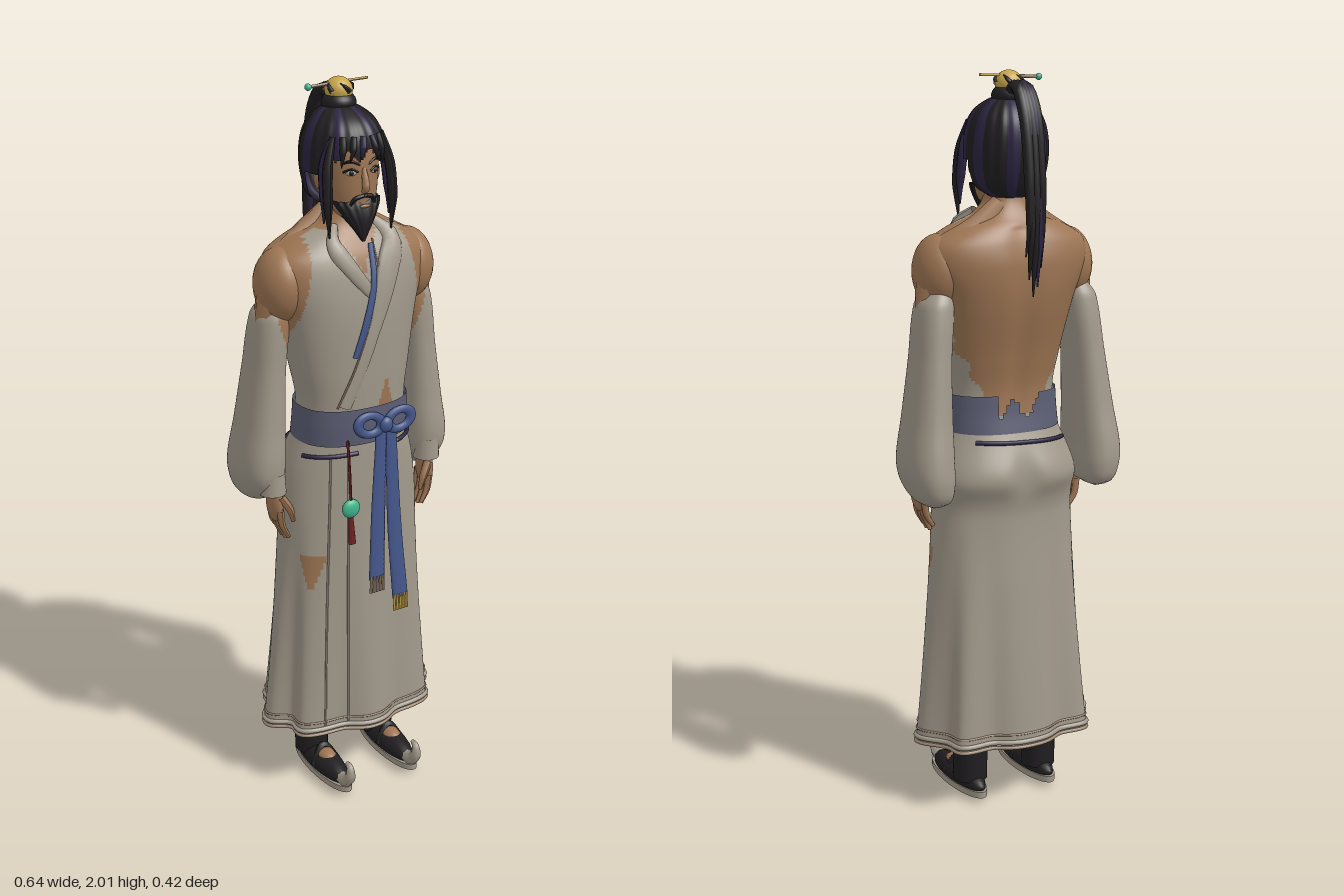
import * as THREE from 'three';

const mat = (name, color) => Object.assign(new THREE.MeshStandardMaterial({ color, side: THREE.DoubleSide }), { name });
const V = (x, y, z) => new THREE.Vector3(x, y, z);

// Surface from cross-sections [y, halfWidth, zFront, zBack, centreX]; y ascending
function surface(rows, ripple = () => 1, n = 2.35) {
  const slope = (i, k) => {
    const a = rows[Math.max(i - 1, 0)], b = rows[Math.min(i + 1, rows.length - 1)];
    return (b[k] - a[k]) / (b[0] - a[0]);
  };
  const f = (y, a) => {
    let i = 0;
    while (i < rows.length - 2 && y > rows[i + 1][0]) i++;
    const h = rows[i + 1][0] - rows[i][0], t = (y - rows[i][0]) / h, t2 = t * t, t3 = t2 * t;
    const get = k => (2 * t3 - 3 * t2 + 1) * rows[i][k] + (t3 - 2 * t2 + t) * h * slope(i, k)
      + (3 * t2 - 2 * t3) * rows[i + 1][k] + (t3 - t2) * h * slope(i + 1, k);
    const c = Math.cos(a), s = Math.sin(a), r = ripple(y, a), zf = get(2), zb = get(3);
    const p = v => Math.sign(v) * Math.abs(v) ** (2 / n);
    return V((rows[0].length > 4 ? get(4) : 0) + get(1) * p(c) * r, y, (zf + zb) / 2 + (zf - zb) / 2 * p(s) * r);
  };
  f.range = [rows[0][0], rows[rows.length - 1][0]];
  // Point on the front of the surface at a given x, y
  f.front = (x, y, off = 0) => {
    let lo = 0.02, hi = Math.PI - 0.02;
    for (let i = 0; i < 30; i++) { const m = (lo + hi) / 2; if (f(y, m).x > x) lo = m; else hi = m; }
    const p = f(y, lo); p.z += off; return p;
  };
  return f;
}

// Mesh a surface; pick(point, angle) gives the material index of a face, or -1 to leave it out
function loft(f, mats, pick = () => 0, seg = 64, steps = 40) {
  const pos = [], idx = mats.map(() => []), [y0, y1] = f.range;
  for (let j = 0; j <= steps; j++) for (let i = 0; i < seg; i++)
    pos.push(...f(y0 + (y1 - y0) * j / steps, i / seg * Math.PI * 2).toArray());
  for (let j = 0; j < steps; j++) for (let i = 0; i < seg; i++) {
    const a = j * seg + i, b = j * seg + (i + 1) % seg, ang = (i + 0.5) / seg * Math.PI * 2;
    const k = pick(f(y0 + (y1 - y0) * (j + 0.5) / steps, ang), ang);
    if (k >= 0) idx[k].push(a, a + seg, b, b, a + seg, b + seg);
  }
  const g = new THREE.BufferGeometry();
  g.setAttribute('position', new THREE.Float32BufferAttribute(pos, 3));
  g.setIndex(idx.flat());
  let start = 0;
  idx.forEach((l, k) => { g.addGroup(start, l.length, k); start += l.length; });
  g.computeVertexNormals();
  return new THREE.Mesh(g, mats);
}

// Tube with changing radius, squashed by a world-space scale
function sweep(points, radii, material, scale = [1, 1, 1], closed = false, seg = 28) {
  const curve = new THREE.CatmullRomCurve3(points, closed), rad = 8, S = V(...scale);
  const g = new THREE.TubeGeometry(curve, seg, 1, rad, closed), p = g.attributes.position, v = V();
  for (let i = 0; i <= seg; i++) {
    const c = curve.getPointAt(i / seg), u = i / seg * (radii.length - 1), k = Math.min(Math.floor(u), Math.max(radii.length - 2, 0));
    const r = radii.length < 2 ? radii[0] : radii[k] + (radii[k + 1] - radii[k]) * (u - k);
    for (let j = 0; j <= rad; j++) {
      const n = i * (rad + 1) + j;
      v.fromBufferAttribute(p, n).sub(c).multiply(S).multiplyScalar(r).add(c);
      p.setXYZ(n, v.x, v.y, v.z);
    }
  }
  g.computeVertexNormals();
  return new THREE.Mesh(g, material);
}

function ball(x, y, z, rx, ry, rz, material) {
  const m = new THREE.Mesh(new THREE.SphereGeometry(1, 28, 18), material);
  m.position.set(x, y, z); m.scale.set(rx, ry, rz);
  return m;
}

export function createModel() {
  const root = new THREE.Group();
  const robe = mat('robe cloth', 0xa0988a), skin = mat('skin', 0x9d7553), black = mat('black', 0x201e20),
    purple = mat('dark purple', 0x2b2442), blue = mat('blue cord', 0x44568a), sash = mat('sash', 0x5a5d72),
    gold = mat('gold', 0xc8a548), jade = mat('jade', 0x40b48a), red = mat('dark red', 0x6c2022), trim = mat('trim', 0x9a846f);
  const add = (name, mesh) => { mesh.name = name; root.add(mesh); return mesh; };

  // Torso: open-backed robe over skin
  const back = a => Math.exp(-(((a - Math.PI * 1.5) / 0.16) ** 2));
  const body = surface([[1, .165, .115, -.115], [1.15, .152, .12, -.1], [1.25, .167, .122, -.115], [1.4, .197, .12, -.15],
    [1.5, .23, .107, -.158], [1.56, .222, .09, -.147], [1.6, .16, .068, -.128], [1.63, .088, .048, -.105],
    [1.67, .054, .036, -.087], [1.74, .05, .03, -.08]], (y, a) => 1 - (y < 1.6 ? 0.07 * back(a) : 0));
  add('torso', loft(body, [robe, skin], p => {
    const x = Math.abs(p.x);
    if (p.y > 1.625) return 1;
    if (p.z < -0.01) return p.y > 1.1 && x < 0.07 + 0.5 * (p.y - 1.1) + 0.008 * Math.sin(p.y * 90) ? 1 : 0;
    if (x > 0.14 + (1.6 - p.y) * 0.2) return 1;
    if (p.y > 1.52 && Math.abs(p.x + 0.01) < (p.y - 1.52) * 0.6) return 1;
    return Math.abs(p.x - 0.05) < (1.23 - p.y) * 0.3 && p.y > 1.14 ? 1 : 0;
  }, 144, 84));

  // Collar bands and inner cord
  const onBody = (pts, off) => pts.map(([x, y]) => body.front(x, y, off));
  add('rightCollar', sweep(onBody([[-.06, 1.635], [-.08, 1.595], [-.045, 1.53], [.025, 1.44]], .004), [.012, .026, .02, .012], robe, [1, 1, .4]));
  add('leftLapel', sweep(onBody([[.06, 1.635], [.09, 1.59], [.06, 1.52], [.01, 1.38], [-.03, 1.27], [-.075, 1.16]], .003),
    [.014, .036, .03, .02, .018, .018], robe, [1, 1, .35]));
  add('lapelEdge', sweep(onBody([[.03, 1.6], [.03, 1.5], [-.01, 1.38], [-.05, 1.27], [-.095, 1.16]], .006), [.0025], trim));
  add('innerCord', sweep(onBody([[.02, 1.59], [.012, 1.5], [-.015, 1.4], [-.05, 1.3]], .008), [.008, .009, .011, .009], blue, [1, 1, .5]));

  // Skirt: draped seat at the back, folds that deepen towards the hem
  const skirt = surface([[.17, .25, .146, -.18], [.4, .232, .138, -.165], [.6, .218, .13, -.15], [.82, .204, .124, -.136],
    [.9, .2, .122, -.146], [.98, .187, .12, -.142], [1.07, .155, .118, -.112]], (y, a) => {
    const d = Math.max(0, (0.85 - y) / 0.68), h = y - 0.925;
    return 1 + 0.07 * d * Math.cos(8 * (a - Math.PI / 2)) + 0.015 * d * Math.sin(13 * a)
      + Math.exp(-((h / (h > 0 ? 0.06 : 0.04)) ** 2)) * (0.14 * Math.max(0, -Math.sin(a)) - 0.12 * back(a));
  }, 2.25);
  add('skirt', loft(skirt, [robe, skin], (p, a) =>
    [.2, 2.42].some(c => p.y < .735 && p.y > .63 && Math.abs(a - c) < .04 + (p.y - .63) * 2.2) ? 1 : 0, 144, 90));
  const arc = (y, k, a0, a1, n, tilt = 0) => Array.from({ length: n }, (_, i) => {
    const a = a0 + (a1 - a0) * i / n, p = skirt(y + tilt * Math.cos(a), a);
    p.x *= k; p.z *= k; return p;
  });
  for (const [y, r, m] of [[.175, .005, trim], [.19, .007, robe], [.212, .003, trim]])
    add('hemBand', sweep(arc(y, 1.005, 0, Math.PI * 2, 120), [r], m, [1, 1, 1], true, 208));
  for (const [a0, a1] of [[.3, 1.1], [1.75, 2.85], [3.8, 5.6]])
    add('lowCord', sweep(arc(1.025, 1.015, a0, a1, 16, .008), [.006], purple));
  for (const [x0, x1] of [[-.065, -.075], [-.11, -.145]])
    add('skirtSeam', sweep([1.02, .85, .65, .45, .2].map((y, i) => skirt.front(x0 + (x1 - x0) * i / 4, y, .001)), [.003], robe));

  // Sash with a torn back edge, bow and hanging ties
  add('sash', loft(surface([[1.05, .163, .127, -.122], [1.1, .161, .128, -.113], [1.152, .159, .126, -.108]]), [sash],
    p => p.z < -.05 && Math.abs(p.x) < .065 && p.y > 1.115 + .025 * Math.sin(p.x * 75) ? -1 : 0, 96, 20));
  for (const s of [1, -1]) {
    const loop = add('bowLoop', new THREE.Mesh(new THREE.TorusGeometry(.028, .012, 10, 28), blue));
    loop.position.set(.036 + s * .046, 1.105, .135);
    loop.scale.set(1.3, .95, .8);
    loop.rotation.z = s * .2;
  }
  add('bowKnot', ball(.036, 1.1, .142, .02, .022, .014, blue));
  const ties = [[.025, 1.08, .01, .85, .0, .65, trim], [.055, 1.08, .062, .8, .077, .575, gold]];
  for (const [xa, ya, xb, yb, xc, yc, m] of ties) {
    add('sashTie', sweep([V(xa, ya, .135), V(xb, yb, .147), V(xc, yc, .158)], [.017, .022, .025], blue, [1, 1, .25]));
    for (let i = -2; i <= 2; i++)
      add('tieFringe', sweep([V(xc + i * .009, yc + .012, .161), V(xc + i * .01, yc - .038, .161)], [.004], m, [1, 1, 1], false, 2));
  }

  // Jade pendant
  add('pendantCord', sweep([V(-.075, 1.07, .128), V(-.07, .98, .13), V(-.066, .89, .13)], [.004], red));
  add('pendantBead', ball(-.066, .87, .13, .027, .027, .014, jade));
  add('pendantTassel', sweep([V(-.066, .845, .13), V(-.064, .765, .133)], [.007, .012], red, [1, 1, .7], false, 4));

  // Arms, legs and feet
  for (const s of [1, -1]) {
    add('shoulder', ball(s * .192, 1.485, -.018, .07, .1, .084, skin));
    add('trapezius', sweep([V(s * .03, 1.655, -.055), V(s * .1, 1.59, -.055), V(s * .18, 1.53, -.035)], [.03, .042, .055], skin));
    add('upperArm', sweep([V(s * .21, 1.48, -.02), V(s * .235, 1.2, -.03), V(s * .242, .92, .015)], [.05, .038, .024], skin));
    const sleeve = surface([[.868, .004, -.09, -.1, s * .25], [.885, .04, -.02, -.145, s * .25], [.93, .06, .035, -.163, s * .254],
      [.99, .065, .05, -.16, s * .256], [1.1, .058, .042, -.14, s * .247], [1.25, .049, .034, -.12, s * .234],
      [1.4, .046, .03, -.1, s * .217], [1.44, .03, .015, -.08, s * .207]]);
    add('sleeve', loft(sleeve, [robe, skin], p => p.z > -.02 && p.y > 1.27 && Math.abs(p.x) < .185 + (p.y - 1.27) * .3 ? 1 : 0, 48, 60));
    const cuff = add('cuff', new THREE.Mesh(new THREE.CylinderGeometry(.034, .037, .06, 24, 1, true), robe));
    cuff.position.set(s * .245, .945, .018);
    add('palm', ball(s * .24, .885, .018, .019, .055, .036, skin));
    for (let i = 0; i < 4; i++) {
      const z = .046 - i * .019, d = i === 3 ? .015 : i === 0 ? .008 : 0;
      add('finger', sweep([V(s * .238, .87, z), V(s * .232, .825, z), V(s * .213, .778 + d, z)], [.011, .0095, .006], skin, undefined, false, 8));
    }
    add('thumb', sweep([V(s * .235, .91, .045), V(s * .212, .87, .056), V(s * .203, .835, .055)], [.012, .011, .006], skin, undefined, false, 8));

    const leg = add('legging', new THREE.Mesh(new THREE.CylinderGeometry(.054, .048, .56, 24), black));
    leg.position.set(s * .11, .32, -.025);
    const sole = add('sole', new THREE.Mesh(new THREE.CylinderGeometry(1, 1, .018, 36), robe));
    sole.position.set(s * .11, .014, .045);
    sole.scale.set(.044, 1, .15);
    add('shoeUpper', ball(s * .11, .03, .04, .042, .04, .137, black));
    add('instep', ball(s * .11, .052, .06, .027, .025, .045, skin));
    add('shoeStrap', sweep([V(s * .11 - .038, .028, .06), V(s * .11, .08, .045), V(s * .11 + .038, .028, .06)], [.011], black));
    add('toeCurl', sweep([V(s * .11, .032, .155), V(s * .11, .04, .182), V(s * .11, .065, .203), V(s * .11, .092, .2), V(s * .11, .098, .183)],
      [.02, .021, .016, .012, .006], robe));
  }

  // Head and face
  const head = surface([[1.645, .02, .06, .01], [1.66, .042, .074, -.02], [1.7, .064, .08, -.06], [1.76, .077, .083, -.1],
    [1.83, .08, .08, -.11], [1.88, .068, .06, -.1], [1.915, .02, 0, -.05]], undefined, 2.1);
  add('head', loft(head, [skin], undefined, 48, 30));
  add('nose', sweep([V(0, 1.79, .08), V(0, 1.755, .09), V(0, 1.738, .092), V(0, 1.73, .08)], [.006, .009, .011, .007], skin));
  add('beard', loft(surface([[1.598, .004, .084, .074], [1.63, .022, .09, .05], [1.66, .042, .091, .02], [1.69, .06, .085, 0],
    [1.705, .066, .078, -.01]], (y, a) => 1 + .05 * Math.cos(14 * a)), [black], undefined, 56, 16));
  add('mouth', ball(0, 1.693, .088, .016, .005, .004, skin));
  for (const s of [1, -1]) {
    const face = (x, y, o) => head.front(s * x, y, o);
    add('ear', ball(s * .083, 1.755, -.005, .012, .028, .018, skin));
    add('moustache', sweep([face(.002, 1.72, .005), face(.025, 1.713, .005), face(.04, 1.685, .006)], [.005, .006, .003], black));
    add('eyebrow', sweep([face(.013, 1.8, .002), face(.035, 1.81, .002), face(.056, 1.802, .002)], [.002, .004, .002], black));
    const e = face(.034, 1.78, 0);
    add('eyeWhite', ball(e.x, e.y, e.z, .014, .007, .004, robe)).rotation.y = s * .4;
    add('iris', ball(e.x, e.y, e.z + .002, .006, .007, .004, black));
    add('eyelid', sweep([face(.018, 1.782, .003), face(.034, 1.79, .003), face(.052, 1.782, .003)], [.0025], black));
    // Locks beside the face
    [[.092, 1.615, .065], [.097, 1.65, .045]].forEach(([x, y, z], i) =>
      add('sideLock', sweep([V(s * .07, 1.87, .045), V(s * .09, 1.8, z - .01), V(s * .096, 1.71, z), V(s * x, y, z)],
        [.008, .014, .013, .002], i === 1 ? purple : black)));
  }

  // Swept-up hair with coloured streaks and a face opening
  const hair = surface([[1.675, .05, .01, -.1], [1.7, .088, .05, -.12], [1.74, .104, .082, -.138], [1.8, .109, .088, -.147],
    [1.86, .1, .082, -.142], [1.9, .08, .055, -.12], [1.928, .045, .005, -.085], [1.94, .01, -.035, -.055]],
    (y, a) => 1 + .015 * Math.cos(20 * a), 2.1);
  add('hair', loft(hair, [black, purple], (p, a) => {
    if (p.z > .02 && p.y < 1.825 + .015 * Math.sin(p.x * 110) && Math.abs(p.x) < .088) return -1;
    if (p.y < 1.77 && p.z > -.03) return -1;
    return Math.floor(a / (Math.PI / 10) + .5) % 3 === 1 ? 1 : 0;
  }, 120, 44));
  for (const [x, x2, y, m] of [[-.05, -.06, 1.795, black], [-.025, -.04, 1.81, black], [.0, -.012, 1.815, purple], [.025, .04, 1.81, black], [.05, .062, 1.795, black]])
    add('fringeLock', sweep([hair.front(x, 1.87, -.003), hair.front((x + x2) / 2, 1.84, 0), hair.front(x2, y, 0)], [.009, .009, .001], m));

  // Top knot, ornament and hairpin
  add('topKnot', ball(0, 1.935, -.047, .046, .032, .046, black));
  add('knotOrnament', ball(0, 1.966, -.047, .037, .034, .037, gold));
  for (let i = 0; i < 5; i++) {
    const at = (a, h) => V(Math.cos(a) * .038 * Math.cos(h), 1.966 + .034 * Math.sin(h), -.047 + Math.sin(a) * .038 * Math.cos(h));
    const a = i * 1.257;
    add('knotStrand', sweep([at(a, 0), at(a + .3, .35), at(a + .7, .7)], [.007, .005, .001], black));
  }
  add('hairpin', sweep([V(0, 1.986, -.047), V(.086, 1.988, -.047)], [.0035], gold, undefined, false, 4));
  add('hairpinStem', sweep([V(-.085, 1.981, -.047), V(0, 1.985, -.047)], [.0045], trim, undefined, false, 4));
  add('hairpinBead', ball(-.089, 1.981, -.047, .009, .009, .009, jade));

  // Ponytail strands
  [[-.016, 1.5, black], [-.009, 1.45, purple], [0, 1.425, black], [.009, 1.47, black], [.016, 1.53, black]].forEach(([x, y, m], i) =>
    add('ponytailStrand', sweep([V(x * .5, 1.945, -.07), V(x * .8, 1.96, -.11), V(x, 1.9, -.155), V(x, 1.75, -.184 + (i % 2) * .005),
      V(x * 1.1, 1.6, -.19), V(x * 1.4, y, -.18)], [.016, .017, .016, .015, .011, .002], m)));
  return root;
}
